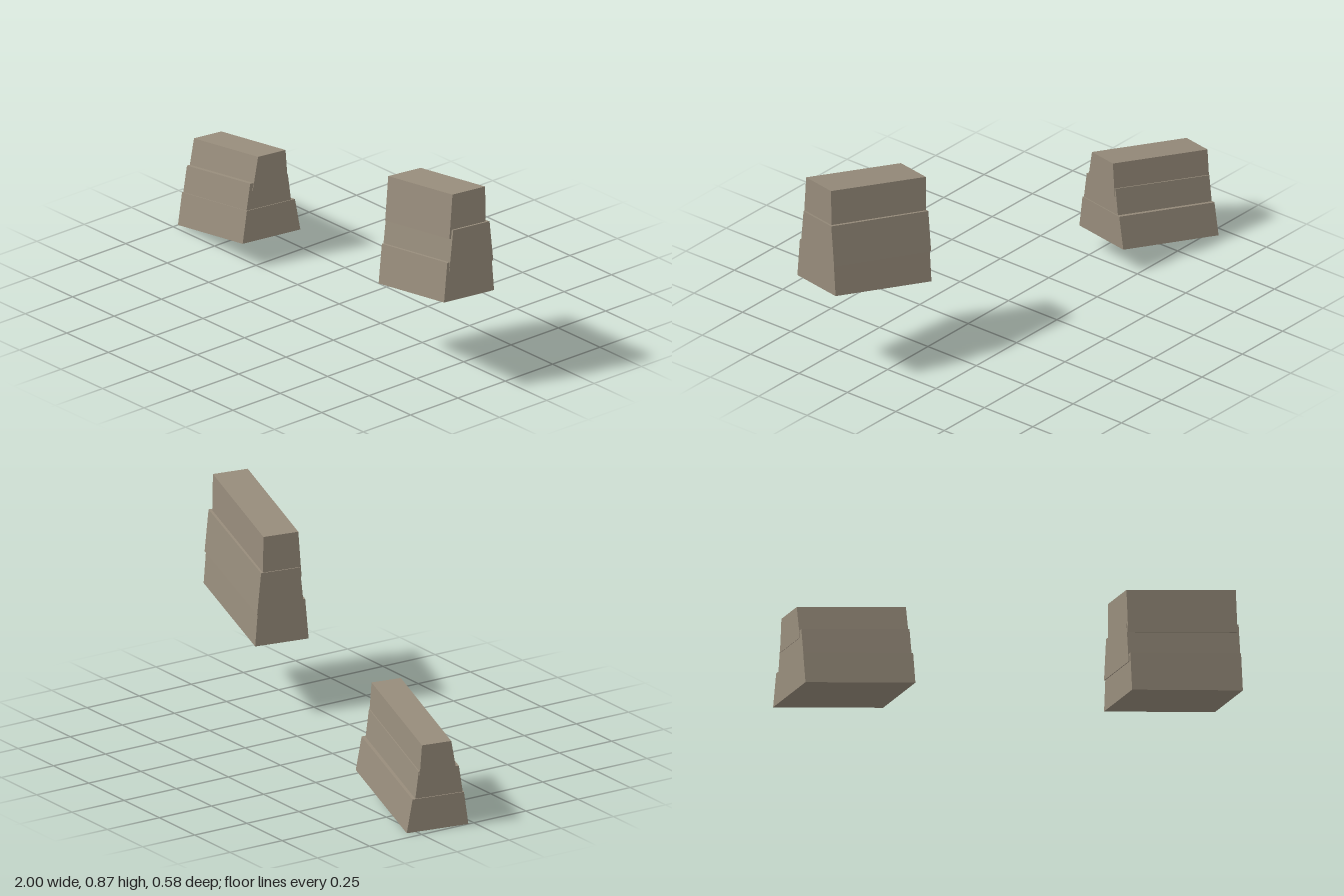
import * as THREE from 'three';

// Slope of each slab along its length, and the skew of its end faces
const DROP = 0.107, BACK = 0.086, SKEW = 0.17;

// One tapered layer. bottom and top are [y, zFront, zBack] at the +x end;
// x0 and x1 are the end positions measured at zFront = zRef.
function layer(name, material, x0, x1, zRef, bottom, top) {
  const geo = new THREE.BoxGeometry(1, 1, 1);
  const pos = geo.attributes.position;
  for (let i = 0; i < pos.count; i++) {
    const [y, zFront, zBack] = pos.getY(i) > 0 ? top : bottom;
    const far = pos.getX(i) < 0;
    const z = pos.getZ(i) > 0 ? zFront : zBack;
    const x = (far ? x0 : x1) - SKEW * (z - zRef);
    pos.setXYZ(i, x, far ? y - DROP : y, far ? z - BACK : z);
  }
  const flat = geo.toNonIndexed();
  flat.computeVertexNormals();
  const mesh = new THREE.Mesh(flat, material);
  mesh.name = name;
  return mesh;
}

function slab(name, material, zRef, layers) {
  const group = new THREE.Group();
  group.name = name;
  const names = ['lowerLayer', 'middleLayer', 'upperLayer'];
  layers.forEach(([x0, x1, bottom, top], i) =>
    group.add(layer(names[i], material, x0, x1, zRef, bottom, top)));
  return group;
}

export function createModel() {
  const stone = new THREE.MeshStandardMaterial({ color: 0x988d7c });
  stone.name = 'weathered stone';
  const model = new THREE.Group();
  model.name = 'stoneSlabs';

  // Tall raised slab on the left
  model.add(slab('tallSlab', stone, 0.29, [
    [0.470, 0.962, [0.414, 0.29, 0.06], [0.583, 0.275, 0.073]],
    [0.466, 0.965, [0.546, 0.268, 0.066], [0.72, 0.25, 0.083]],
    [0.469, 0.954, [0.68, 0.259, 0.092], [0.87, 0.245, 0.095]],
  ]));

  // Low, wider slab on the right
  model.add(slab('lowSlab', stone, 0.06, [
    [-1.0, -0.512, [0.107, 0.06, -0.205], [0.245, 0.041, -0.18]],
    [-0.997, -0.518, [0.21, 0.043, -0.171], [0.357, 0.021, -0.152]],
    [-0.999, -0.515, [0.323, 0.012, -0.15], [0.467, -0.013, -0.139]],
  ]));
  return model;
}
